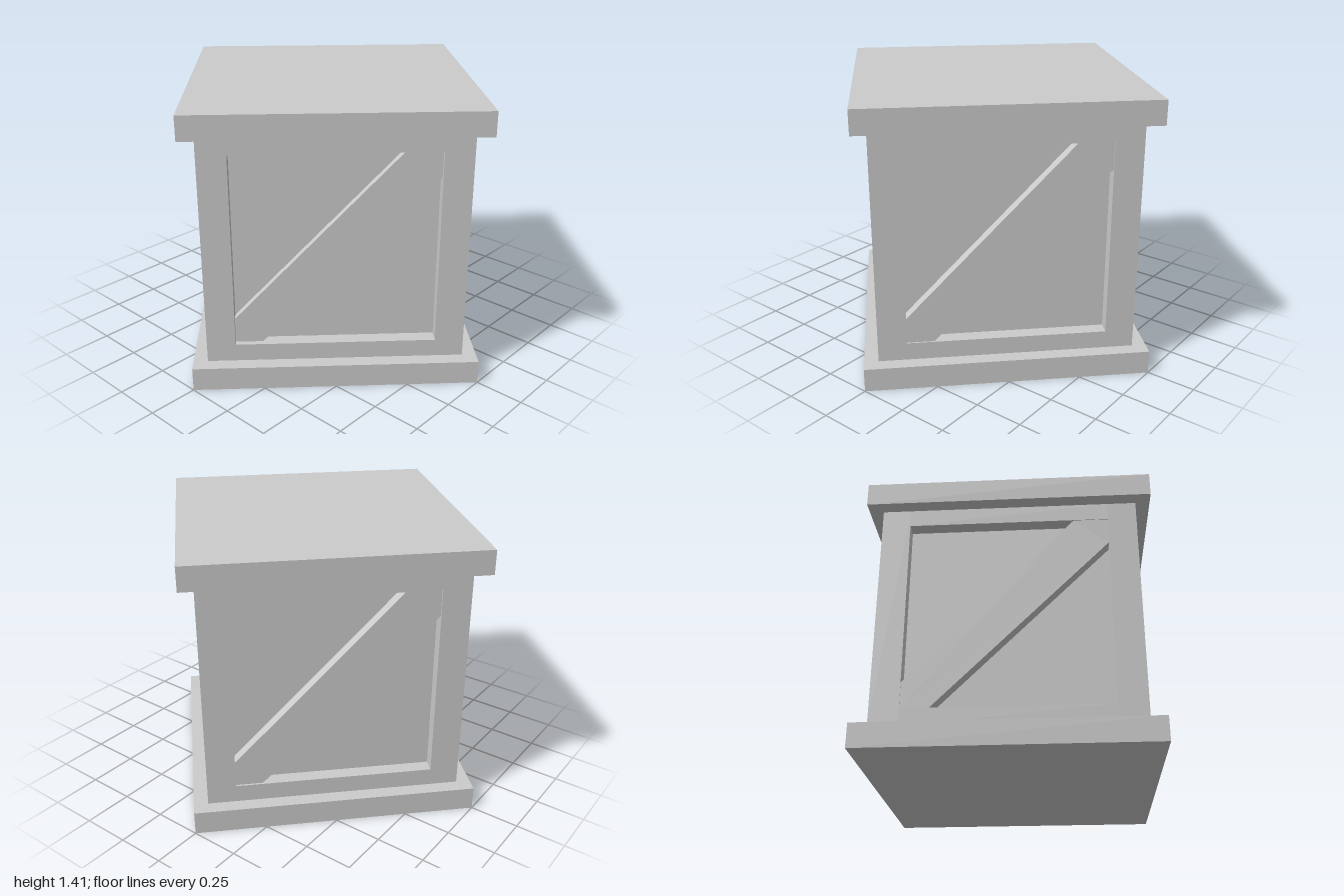
import * as THREE from 'three';

const SLAB = Math.SQRT2;      // side of the base and lid
const BODY = 1.273;           // outer side of the framed body
const OPEN = 0.99;            // side of the square opening in each wall
const DEPTH = 0.07;           // how far the panels sit behind the frame
const Y0 = 0.12, Y1 = 1.29;   // body bottom and top
const MID = 0.705;

export function createModel() {
  const model = new THREE.Group();
  model.name = 'crate';
  const material = new THREE.MeshStandardMaterial({ color: 0xcccccc, flatShading: true });

  const add = (parent, name, geometry, x, y, z) => {
    const mesh = new THREE.Mesh(geometry, material);
    mesh.name = name;
    mesh.position.set(x, y, z);
    parent.add(mesh);
    return mesh;
  };
  const box = (parent, name, w, h, d, x, y, z) =>
    add(parent, name, new THREE.BoxGeometry(w, h, d), x, y, z);

  // Base, lid and the inner block whose sides form the recessed panels
  box(model, 'base', SLAB, Y0, SLAB, 0, Y0 / 2, 0);
  box(model, 'lid', SLAB, 1.41 - Y1, SLAB, 0, (1.41 + Y1) / 2, 0);
  const core = BODY - 2 * DEPTH;
  box(model, 'panels', core, Y1 - Y0, core, 0, MID, 0);

  // Diagonal board, cut off square where it meets the frame
  const h = OPEN / 2;
  const braceShape = new THREE.Shape([
    [-h, -h], [-0.36, -h], [h, 0.36], [h, h], [0.325, h], [-h, -0.365],
  ].map(([x, y]) => new THREE.Vector2(x, y)));

  // Four walls; each brace is set back a little differently
  const post = (BODY - OPEN) / 2;
  const railHeight = (Y1 - Y0 - OPEN) / 2;
  [0.028, 0.007, 0.01, 0.003].forEach((inset, i) => {
    const wall = new THREE.Group();
    wall.name = 'wall' + (i + 1);
    wall.rotation.y = i * Math.PI / 2;
    model.add(wall);

    const p = (BODY - post) / 2;
    box(wall, 'cornerPost', post, Y1 - Y0, post, p, MID, p);
    for (const [name, s] of [['topRail', 1], ['bottomRail', -1]]) {
      box(wall, name, OPEN, railHeight, DEPTH,
        0, MID + s * (OPEN + railHeight) / 2, (BODY - DEPTH) / 2);
    }
    const brace = new THREE.ExtrudeGeometry(braceShape, { depth: DEPTH - inset, bevelEnabled: false });
    add(wall, 'diagonalBrace', brace, 0, MID, core / 2);
  });

  // The crate stands with one corner to the front
  model.rotation.y = Math.PI / 4;
  const root = new THREE.Group();
  root.name = 'crateModel';
  root.add(model);
  return root;
}
